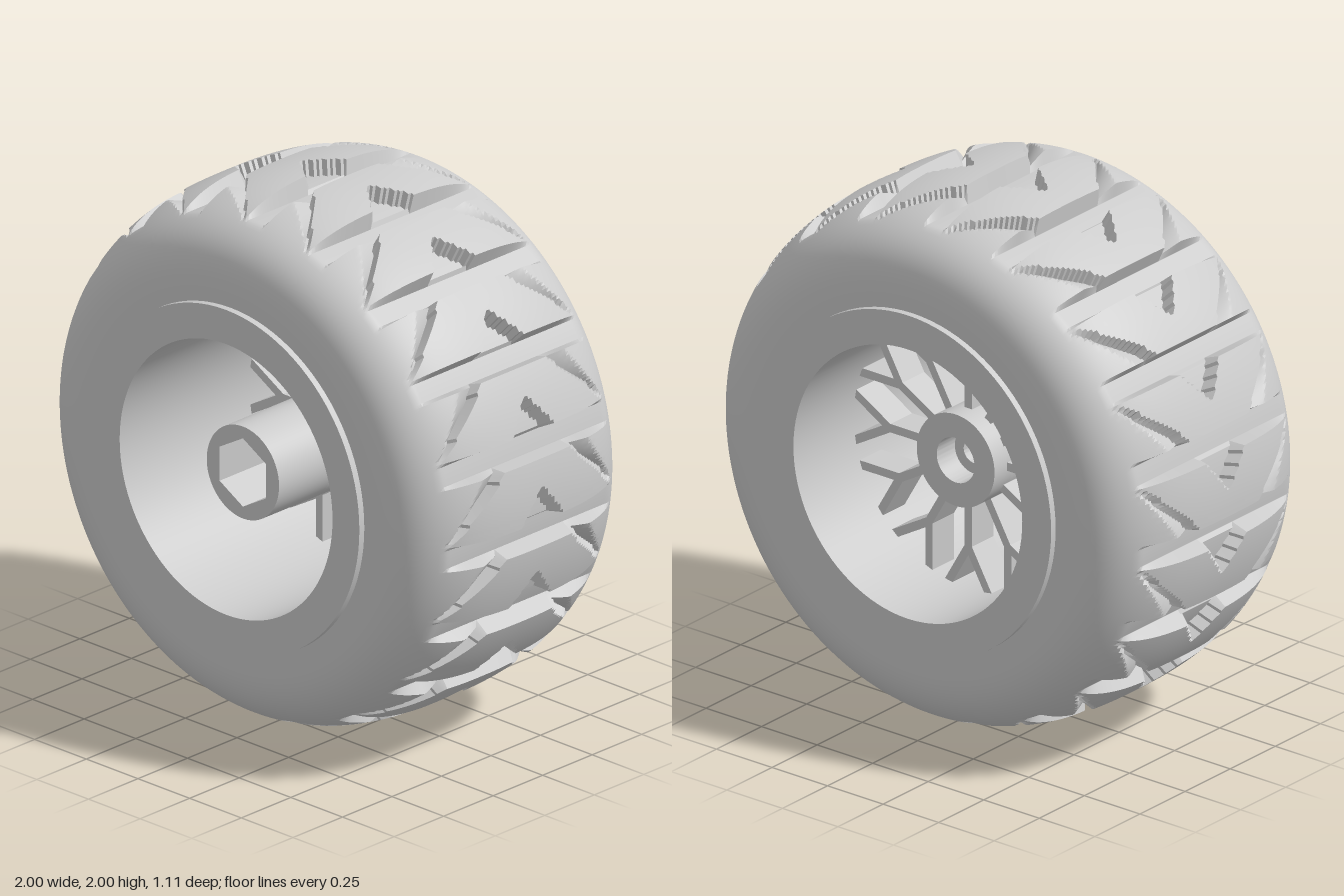
import * as THREE from 'three';
import { toCreasedNormals } from 'three/addons/utils/BufferGeometryUtils.js';

const mat = new THREE.MeshStandardMaterial({ color: 0xcccccc });
const LUGS = 19, PITCH = 360 / LUGS, SPOKES = 12;
const HALF_WIDTH = 0.53, TREAD_EDGE = 0.42, GROOVE_FLOOR = 0.93, POWER = 2.7;
const v2 = (x, y) => new THREE.Vector2(x, y);

function mesh(geometry, name) {
  const m = new THREE.Mesh(geometry, mat);
  m.name = name;
  return m;
}

// Revolve a (radius, z) profile around the axle
function revolve(profile, segments) {
  return new THREE.LatheGeometry(profile, segments).rotateX(Math.PI / 2);
}

// Round sleeve with a bore, from z0 to z1
function sleeve(radius, hole, z0, z1) {
  const shape = new THREE.Shape().absarc(0, 0, radius, 0, Math.PI * 2);
  shape.holes.push(hole);
  const g = new THREE.ExtrudeGeometry(shape, { depth: z1 - z0, bevelEnabled: false, curveSegments: 40 });
  return toCreasedNormals(g.translate(0, 0, z0), 0.6);
}
const roundHole = (r) => new THREE.Path().absarc(0, 0, r, 0, Math.PI * 2, true);
function hexHole(r) {
  const pts = [];
  for (let i = 0; i < 6; i++) {
    const a = -i * Math.PI / 3;
    pts.push(v2(Math.sin(a) * r, Math.cos(a) * r));
  }
  return new THREE.Path(pts);
}

// Uncut tyre radius at distance w from the centre line
const crown = (w) => 0.7 + 0.3 * Math.pow(Math.max(0, 1 - Math.pow(w / HALF_WIDTH, POWER)), 1 / POWER);

// Tread radius: a = degrees past the nearest groove, w = distance from the centre line
function treadRadius(a, w) {
  const top = crown(w);
  const floor = Math.min(top, GROOVE_FLOOR);
  // straight groove across the tread
  if (Math.abs(a) < 2.4) return floor;
  // V notch at the trailing end of each lug
  if (a > 9 && w < 0.1 * (a - 9) / 7.4) return floor + 0.015;
  // slanted chevron cut, deepest along its inner diagonal
  const inner = TREAD_EDGE - 0.0187 * (16.4 - a);
  const outer = TREAD_EDGE - 0.0115 * (16.4 - a);
  if (w > inner && w < outer) return Math.max(floor, top - 0.05 * (outer - w) / (outer - inner));
  return top;
}

function createTyre() {
  const shoulder = [];
  const start = Math.asin(Math.pow(TREAD_EDGE / HALF_WIDTH, POWER / 2));
  for (let i = 1; i <= 14; i++) {
    const t = THREE.MathUtils.lerp(start, Math.PI / 2, i / 14);
    shoulder.push([0.7 + 0.3 * Math.pow(Math.max(0, Math.cos(t)), 2 / POWER), HALF_WIDTH * Math.pow(Math.sin(t), 2 / POWER)]);
  }
  shoulder.push([0.6, HALF_WIDTH]);
  const band = [];
  for (let i = 0; i <= 56; i++) {
    const z = TREAD_EDGE * (i / 28 - 1);
    band.push([crown(Math.abs(z)), z]);
  }
  const profile = [...shoulder.map(([r, z]) => [r, -z]).reverse(), ...band, ...shoulder];
  const g = revolve(profile.map(([r, z]) => v2(r, z)), LUGS * 26);

  // press the grooves into the tread band
  const p = g.attributes.position;
  for (let i = 0; i < p.count; i++) {
    const x = p.getX(i), y = p.getY(i), w = Math.abs(p.getZ(i));
    if (w > TREAD_EDGE) continue;
    let a = (THREE.MathUtils.radToDeg(Math.atan2(x, y)) + 360 + 2.6) % PITCH - 2.6;
    if (a > PITCH - 2.6) a -= PITCH;
    const k = treadRadius(a, w) / Math.hypot(x, y);
    p.setXY(i, x * k, y * k);
  }
  return mesh(toCreasedNormals(g, 0.35), 'treadedTyre');
}

// Straight bar in the wheel plane
function bar(x0, y0, x1, y1, name) {
  const len = Math.hypot(x1 - x0, y1 - y0);
  const m = mesh(new THREE.BoxGeometry(len, 0.032, 0.12), name);
  m.position.set((x0 + x1) / 2, (y0 + y1) / 2, -0.16);
  m.rotation.z = Math.atan2(y1 - y0, x1 - x0);
  return m;
}

function createSpokes() {
  const spokes = new THREE.Group();
  spokes.name = 'spokes';
  for (let i = 0; i < SPOKES; i++) {
    const spoke = new THREE.Group();
    spoke.name = 'forkedSpoke';
    spoke.add(bar(0, 0.15, 0, 0.365, 'spokeStem'));
    for (const s of [1, -1]) spoke.add(bar(0, 0.355, s * 0.1, 0.355 + 0.1 * Math.sqrt(3), 'spokeBranch'));
    spoke.rotation.z = i * Math.PI * 2 / SPOKES;
    spokes.add(spoke);
  }
  return spokes;
}

function createHub() {
  const hub = new THREE.Group();
  hub.name = 'hub';
  hub.add(
    mesh(sleeve(0.175, hexHole(0.13), 0.2, 0.47), 'hexSocket'),
    mesh(sleeve(0.175, roundHole(0.045), -0.19, 0.2), 'hubCore'),
    mesh(sleeve(0.175, roundHole(0.085), -0.29, -0.19), 'rearRecess'),
  );
  return hub;
}

export function createModel() {
  const wheel = new THREE.Group();
  wheel.name = 'wheel';
  const rim = [[0.515, -0.555], [0.645, -0.555], [0.645, 0.555], [0.515, 0.555], [0.515, -0.555]];
  const rimGeo = toCreasedNormals(revolve(rim.map(([r, z]) => v2(r, z)), 96), 0.6);
  wheel.add(createTyre(), mesh(rimGeo, 'rim'), createSpokes(), createHub());
  wheel.position.y = 1;
  const model = new THREE.Group();
  model.name = 'offRoadWheel';
  model.add(wheel);
  return model;
}
